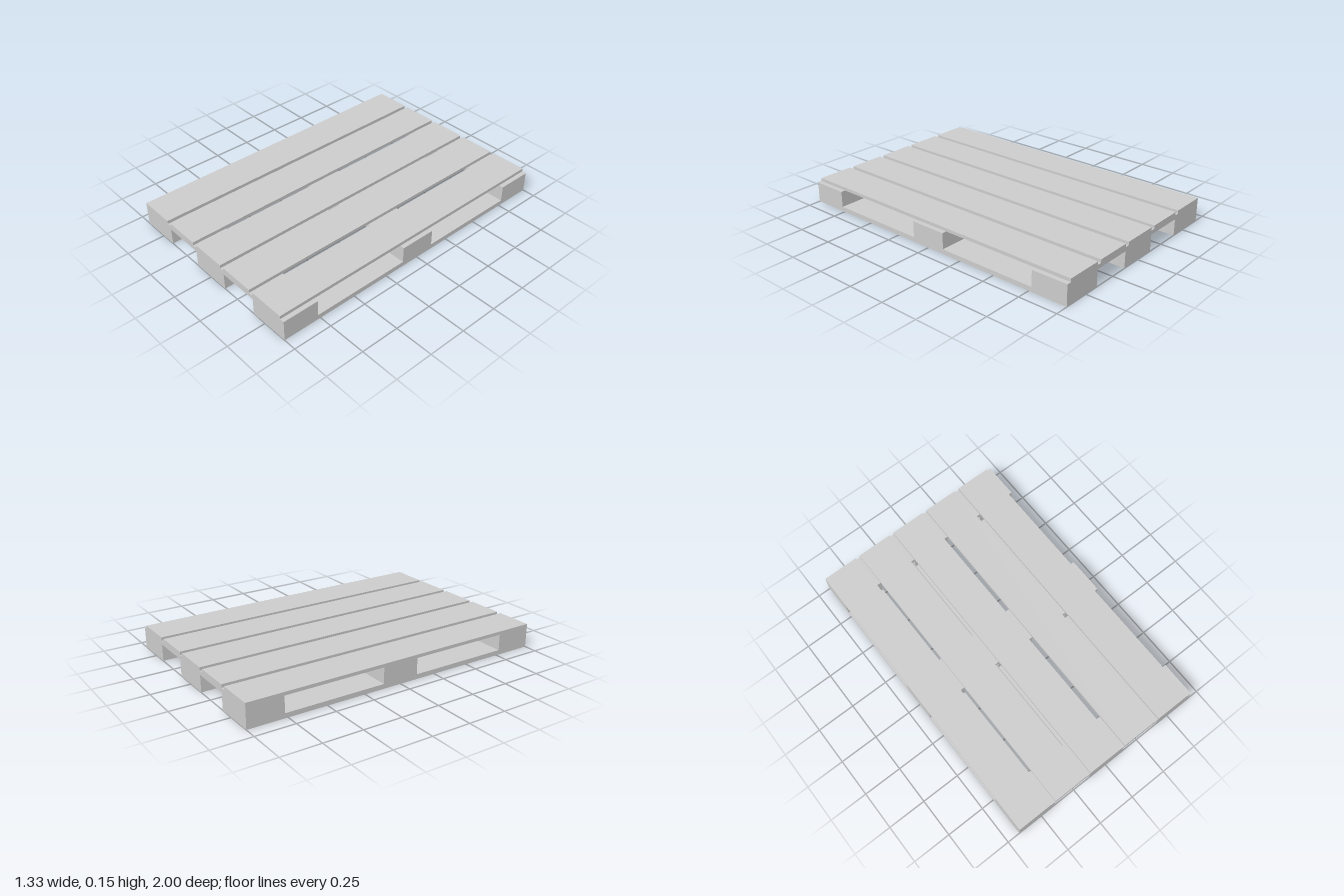
import * as THREE from 'three';

const WIDTH = 1.333, LENGTH = 2;
const RUNNER_TOP = 0.03, BLOCK_TOP = 0.107, BEAM_TOP = 0.133, DECK_TOP = 0.154;
const PITCH = WIDTH / 5; // spacing of the deck boards
const SLAT_WIDTH = 0.237;

export function createModel() {
  const pallet = new THREE.Group();
  pallet.name = 'pallet';
  const material = new THREE.MeshStandardMaterial({ color: 0xcccccc, flatShading: true });

  // Box given by its extents on each axis
  const addBoard = (name, [x0, x1], [y0, y1], [z0, z1]) => {
    const mesh = new THREE.Mesh(new THREE.BoxGeometry(x1 - x0, y1 - y0, z1 - z0), material);
    mesh.position.set((x0 + x1) / 2, (y0 + y1) / 2, (z0 + z1) / 2);
    mesh.name = name;
    pallet.add(mesh);
  };

  const fullX = [-WIDTH / 2, WIDTH / 2];
  const fullZ = [-LENGTH / 2, LENGTH / 2];
  const rows = [[-1, -0.769], [-0.12, 0.118], [0.767, 1]];

  // Five deck boards, each set to the right edge of its pitch
  for (let i = 0; i < 5; i++) {
    const x = fullX[0] + i * PITCH;
    addBoard('deckBoard', [x, x + SLAT_WIDTH], [BEAM_TOP, DECK_TOP], fullZ);
  }

  // Three cross boards under the deck
  for (const z of rows) addBoard('crossBoard', fullX, [BLOCK_TOP, BEAM_TOP], z);

  // Three bottom runners, each carrying three blocks
  for (const i of [0, 2, 4]) {
    const x = [fullX[0] + i * PITCH, fullX[0] + (i + 1) * PITCH];
    addBoard('runner', x, [0, RUNNER_TOP], fullZ);
    for (const z of rows) addBoard('block', x, [RUNNER_TOP, BLOCK_TOP], z);
  }

  return pallet;
}
